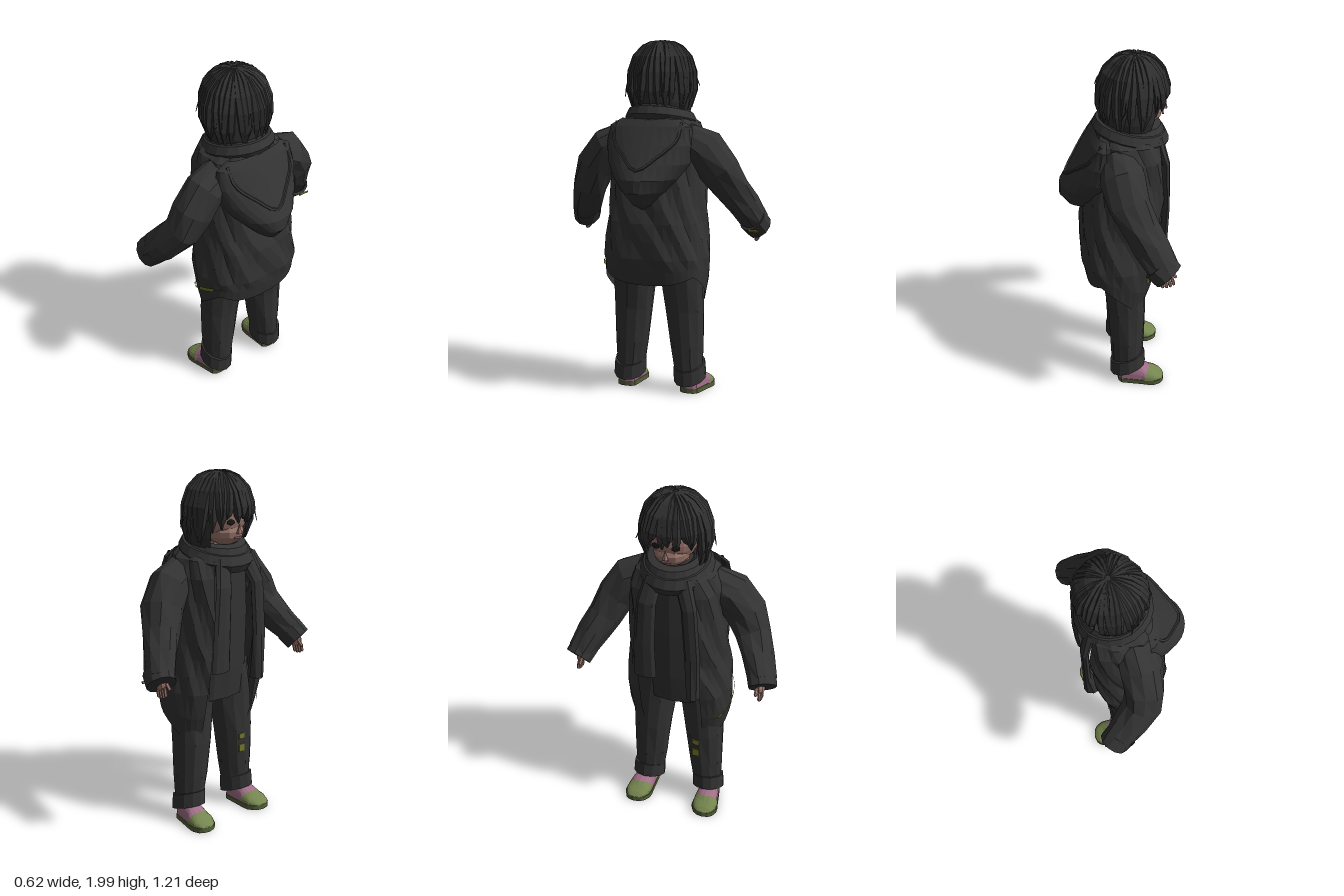
import * as THREE from 'three';

const mat = (name, color) => {
  const m = new THREE.MeshStandardMaterial({ color, flatShading: true, side: THREE.DoubleSide });
  m.name = name;
  return m;
};
const V = (x, y, z) => new THREE.Vector3(x, y, z);

// surface through a list of equally long point rows
function loft(rows) {
  const n = rows[0].length, idx = [];
  for (let r = 0; r < rows.length - 1; r++)
    for (let c = 0; c < n - 1; c++) {
      const a = r * n + c, b = a + n;
      idx.push(a, b, a + 1, b, b + 1, a + 1);
    }
  const g = new THREE.BufferGeometry().setFromPoints(rows.flat());
  g.setIndex(idx);
  g.computeVertexNormals();
  return g;
}

// capped limb along nodes [x, y, z, radiusAlongX, radiusAcross]
function limb(nodes, sides = 10, fold = 0) {
  const p = nodes.map(n => V(n[0], n[1], n[2]));
  const rows = p.map((c, i) => {
    const t = p[Math.min(i + 1, p.length - 1)].clone().sub(p[Math.max(i - 1, 0)]).normalize();
    const a = V(1, 0, 0).addScaledVector(t, -t.x).normalize();
    const b = t.clone().cross(a);
    return Array.from({ length: sides + 1 }, (_, k) => {
      const w = k % sides * 2 * Math.PI / sides;
      const f = 1 + fold * Math.sin(k % sides * 2.3 + i * 1.9);
      return c.clone().addScaledVector(a, Math.cos(w) * nodes[i][3] * f)
        .addScaledVector(b, Math.sin(w) * nodes[i][4] * f);
    });
  });
  rows.unshift(rows[0].map(() => p[0].clone()));
  rows.push(rows[0].map(() => p[p.length - 1].clone()));
  return loft(rows);
}

// interpolate rows keyed by descending first value
function sample(table, y) {
  let i = 0;
  while (i < table.length - 2 && y < table[i + 1][0]) i++;
  const A = table[i], B = table[i + 1];
  const t = THREE.MathUtils.clamp((A[0] - y) / (A[0] - B[0]), 0, 1);
  return A.map((v, k) => v + (B[k] - v) * t);
}
const pw = (v, e) => Math.sign(v) * Math.abs(v) ** e;

// coat sections: y, front x, back x, half width
const COAT = [[1.6, -0.2, 0.1, 0.13], [1.54, -0.24, 0.12, 0.22], [1.45, -0.265, 0.13, 0.255], [1.2, -0.275, 0.17, 0.265],
  [1.0, -0.265, 0.2, 0.275], [0.8, -0.25, 0.2, 0.3], [0.65, -0.21, 0.17, 0.295], [0.5, -0.16, 0.14, 0.27]];
function coatPoint(y, a, grow = 0) {
  const [, x0, x1, w] = sample(COAT, y);
  return V((x0 + x1) / 2 + ((x1 - x0) / 2 + grow) * pw(Math.cos(a), 0.8), y, (w + grow) * pw(Math.sin(a), 0.8));
}

// hair sections: y, front x, back x, half width
const HAIR = [[1.99, -0.1, -0.1, 0], [1.982, -0.16, -0.04, 0.06], [1.965, -0.2, 0.005, 0.1], [1.92, -0.25, 0.055, 0.15],
  [1.84, -0.28, 0.09, 0.18], [1.74, -0.285, 0.1, 0.19], [1.66, -0.27, 0.095, 0.185], [1.59, -0.24, 0.075, 0.165]];
function hairPoint(y, a, k = 1) {
  const [, x0, x1, w] = sample(HAIR, y);
  return V((x0 + x1) / 2 + (x1 - x0) / 2 * k * Math.cos(a), y, w * k * Math.sin(a));
}

export function createModel() {
  const g = new THREE.Group();
  const coatM = mat('coat charcoal', 0x333333), hairM = mat('hair black', 0x2f2f30), pantsM = mat('trousers charcoal', 0x323232),
    skinM = mat('skin', 0x9f796e), greenM = mat('shoe green', 0x75854f), pinkM = mat('shoe pink', 0xa06f88),
    soleM = mat('sole green', 0x525e38), trimM = mat('trim yellow', 0x74732b), eyeM = mat('eye dark', 0x1c1818);
  const add = (name, geo, m, parent = g) => {
    const o = new THREE.Mesh(geo, m);
    o.name = name;
    parent.add(o);
    return o;
  };

  // open coat with a slanting hem
  const N = 30, gap = 0.56;
  const angles = Array.from({ length: N + 1 }, (_, i) => -(Math.PI - gap) + i * 2 * (Math.PI - gap) / N);
  const hem = a => {
    const x = coatPoint(0.65, a).x;
    return x > 0.1 ? 0.65 + (0.17 - x) * 0.7 : Math.max(0.5, 0.625 + 0.83 * x);
  };
  const levels = [1.6, 1.54, 1.45, 1.32, 1.2, 1.08, 1.0, 0.9, 0.8];
  add('coat', loft([...levels.map((y, r) => angles.map((a, i) => coatPoint(y, a, 0.008 * Math.sin(i * 1.7 + r * 2.1)))),
    ...[0.5, 1].map(t => angles.map(a => coatPoint(0.8 + (hem(a) - 0.8) * t, a)))]), coatM);

  // worn trim on the left coat side: a broad stroke and a few short dashes, as [start, end, width]
  for (const [a0, a1, w] of [[0.95, 1.2, 0.006], [1.2, 1.62, 0.026], [1.66, 1.8, 0.013], [1.84, 1.97, 0.012], [2.0, 2.15, 0.016], [2.18, 2.28, 0.012]])
    add('coatTrim', loft([-0.5, 0.5].map(d => Array.from({ length: 5 }, (_, i) => {
      const a = a0 + (a1 - a0) * i / 4;
      return coatPoint(0.72 + 0.47 * coatPoint(0.7, a).x + d * w, a, 0.009);
    }))), trimM);

  // jumper under the coat
  add('jumper', limb([[-0.07, 1.6, 0, 0.1, 0.1], [-0.07, 1.48, 0, 0.14, 0.19], [-0.04, 1.2, 0, 0.17, 0.22],
    [-0.03, 0.9, 0, 0.17, 0.22], [-0.04, 0.72, 0, 0.14, 0.22]], 14), pantsM);

  // hood hanging on the back: y, depth x, half width
  const HOOD = [[1.57, 0.11, 0.17], [1.53, 0.14, 0.24], [1.43, 0.2, 0.255], [1.33, 0.26, 0.235], [1.25, 0.31, 0.19],
    [1.18, 0.312, 0.13], [1.11, 0.26, 0.065], [1.08, 0.19, 0.025]];
  const hoodPoint = (h, t) => V(0.06 + (h[1] - 0.06) * Math.cos(t) ** 0.8, h[0], 0.005 + h[2] * Math.sin(t));
  add('hood', loft(HOOD.map(h => Array.from({ length: 15 }, (_, i) => hoodPoint(h, (i - 7) * Math.PI / 14.01)))), coatM);
  const rim = [-1, -0.7, -0.35, 0, 0.35, 0.7, 1].map(s => {
    const y = 1.55 - 0.25 * (1 - Math.abs(s) ** 1.2);
    return hoodPoint(sample(HOOD, y), s * 1.2);
  });
  add('hoodRim', new THREE.TubeGeometry(new THREE.CatmullRomCurve3(rim), 18, 0.01, 5), coatM);

  // scarf: two wraps round the neck and two hanging tails
  [[1.555, 0.152, 0.145, 0.058, 0.17], [1.59, 0.137, 0.13, 0.045, 0.13]].forEach(([y, rx, rz, tube, tilt], i) => {
    const t = new THREE.TorusGeometry(1, 0.33, 7, 20);
    t.rotateX(Math.PI / 2);
    const p = t.attributes.position;
    for (let k = 0; k < p.count; k++) {
      const x = p.getX(k), z = p.getZ(k), r = Math.hypot(x, z), s = (r - 1) / 0.33;
      const nx = x / r * (rx + tube * s), nz = z / r * (rz + tube * s);
      p.setXYZ(k, nx - 0.08, y + p.getY(k) / 0.33 * tube + nx * tilt * 1.3, nz);
    }
    t.computeVertexNormals();
    add('scarfWrap' + (i + 1), t, coatM);
  });
  add('scarfTailRight', limb([[-0.22, 1.54, -0.08, 0.03, 0.05], [-0.265, 1.4, -0.11, 0.022, 0.055],
    [-0.27, 1.15, -0.125, 0.02, 0.06], [-0.26, 0.93, -0.125, 0.022, 0.065]], 8), coatM);
  add('scarfTailLeft', limb([[-0.22, 1.54, 0.08, 0.03, 0.05], [-0.268, 1.4, 0.13, 0.022, 0.045],
    [-0.27, 1.1, 0.15, 0.022, 0.045], [-0.245, 0.84, 0.15, 0.05, 0.04]], 8), coatM);

  // sleeves, cuffs and hands
  const arms = {
    left: [[-0.01, 1.46, 0.17, 0.1, 0.09], [0.0, 1.4, 0.28, 0.115, 0.115], [0.0, 1.29, 0.365, 0.11, 0.112],
      [-0.02, 1.18, 0.415, 0.105, 0.1], [-0.1, 1.08, 0.472, 0.1, 0.088], [-0.185, 0.995, 0.52, 0.085, 0.075]],
    right: [[-0.01, 1.46, -0.17, 0.1, 0.09], [-0.02, 1.4, -0.28, 0.12, 0.115], [-0.05, 1.29, -0.36, 0.115, 0.112],
      [-0.105, 1.18, -0.415, 0.1, 0.1], [-0.16, 1.09, -0.467, 0.095, 0.088], [-0.22, 0.985, -0.52, 0.085, 0.075]]
  };
  for (const [side, path] of Object.entries(arms)) {
    add(side + 'Sleeve', limb(path, 11, 0.05), coatM);
    const [x, y, z] = path[5], s = Math.sign(z);
    add(side + 'Cuff', limb([[x + 0.03, y + 0.025, z - s * 0.015, 0.092, 0.08], [x - 0.025, y - 0.03, z + s * 0.01, 0.086, 0.076]], 11), coatM);
    const hand = new THREE.Group();
    hand.name = side + 'Hand';
    hand.position.set(s > 0 ? x - 0.02 : x - 0.005, y - 0.035, z);
    hand.quaternion.setFromUnitVectors(V(0, -1, 0), V(-0.25, -0.9, s * 0.05).normalize());
    g.add(hand);
    add('palm', new THREE.SphereGeometry(0.04, 8, 6).scale(1, 0.9, 0.6), skinM, hand);
    for (let i = 0; i < 4; i++) {
      const f = add('finger', new THREE.CapsuleGeometry(0.009, 0.035, 2, 6), skinM, hand);
      f.position.set(-0.03 + i * 0.02, -0.045 - (i % 3 ? 0.006 : 0), 0);
    }
    const th = add('thumb', new THREE.CapsuleGeometry(0.01, 0.03, 2, 6), skinM, hand);
    th.position.set(-0.042, -0.018, -s * 0.015);
    th.rotation.z = -0.5;
  }
  // small yellow tab on the back of the right cuff
  const tab = add('cuffTab', new THREE.BoxGeometry(0.008, 0.014, 0.06), trimM);
  tab.position.set(-0.13, 0.942, -0.536);
  tab.rotation.z = -0.69;

  // trousers with turn-ups, shoes
  for (const s of [1, -1]) {
    const side = s > 0 ? 'left' : 'right';
    add(side + 'TrouserLeg', limb([[-0.03, 0.88, s * 0.12, 0.13, 0.13], [-0.04, 0.68, s * 0.145, 0.12, 0.125],
      [-0.055, 0.48, s * 0.158, 0.108, 0.11], [-0.055, 0.28, s * 0.17, 0.098, 0.098], [-0.055, 0.11, s * 0.18, 0.086, 0.078]], 12, 0.025), pantsM);
    const cuff = limb([[-0.057, 0.165, s * 0.183, 0.1, 0.09], [-0.06, 0.08, s * 0.187, 0.102, 0.093]], 12);
    const cp = cuff.attributes.position;
    for (let k = 0; k < cp.count; k++) cp.setY(k, cp.getY(k) - (cp.getX(k) + 0.055) * 0.3);
    add(side + 'TurnUp', cuff, pantsM);

    // shoe sections along x: x, half width, top height
    const SHOE = [[-0.27, 0.0, 0.03], [-0.262, 0.035, 0.038], [-0.245, 0.056, 0.052], [-0.21, 0.072, 0.07], [-0.175, 0.072, 0.088],
      [-0.14, 0.066, 0.108], [-0.08, 0.058, 0.12], [-0.02, 0.05, 0.1], [-0.004, 0.03, 0.08], [0.0, 0.0, 0.06]];
    const cz = x => s * (0.2 - 0.08 * (x + 0.1));
    // rows lean back towards the sides, so the toe cap ends in a curve
    const upper = (list, lean) => loft(list.map(([x, w, h], r) => Array.from({ length: 11 }, (_, k) => {
      const a = k * Math.PI / 10;
      const shift = r === lean ? 0.03 * Math.abs(Math.cos(a)) - 0.012 : 0;
      return V(x + shift, 0.025 + (h - 0.025) * Math.sin(a) ** 0.8, cz(x) + w * pw(Math.cos(a), 0.8));
    })));
    add(side + 'ShoeToe', upper(SHOE.slice(0, 5), 4), greenM);
    add(side + 'ShoeInstep', upper(SHOE.slice(4), 0), pinkM);
    const line = [...SHOE.map(([x, w]) => V(x, 0, cz(x) + w * 1.05)), ...SHOE.slice(1, -1).reverse().map(([x, w]) => V(x, 0, cz(x) - w * 1.05))];
    const sole = new THREE.ExtrudeGeometry(new THREE.Shape(line.map(p => new THREE.Vector2(p.x, -p.z))), { depth: 0.028, bevelEnabled: false });
    add(side + 'Sole', sole.rotateX(-Math.PI / 2), soleM);
  }
  // small patches on the left trouser leg
  for (const [y, h] of [[0.375, 0.045], [0.45, 0.03]])
    add('trouserPatch', new THREE.BoxGeometry(0.008, h, 0.04), trimM).position.set(-0.156, y, 0.135);

  // head, neck and face, looking along -x
  add('head', new THREE.SphereGeometry(1, 18, 14).scale(0.155, 0.175, 0.14).translate(-0.11, 1.785, 0), skinM);
  add('jaw', new THREE.SphereGeometry(1, 12, 8).scale(0.105, 0.085, 0.1).translate(-0.152, 1.685, 0), skinM);
  add('neck', new THREE.CylinderGeometry(0.065, 0.07, 0.16, 10).translate(-0.08, 1.6, 0), skinM);
  add('nose', new THREE.ConeGeometry(0.017, 0.055, 5).translate(-0.264, 1.705, 0), skinM);
  add('mouth', new THREE.BoxGeometry(0.008, 0.008, 0.05).translate(-0.253, 1.655, 0), pinkM);
  for (const s of [1, -1]) {
    const e = add('eye', new THREE.SphereGeometry(1, 10, 6).scale(0.005, 0.016, 0.024), eyeM);
    e.position.set(-0.256, 1.745, s * 0.055);
    e.rotation.y = s * 0.35;
  }

  // hair: closed crown and a ragged bob around sides and back
  add('hairCrown', loft([1.99, 1.982, 1.965, 1.92, 1.87, 1.8].map(y =>
    Array.from({ length: 49 }, (_, i) => hairPoint(y, i * Math.PI / 24, 0.95)))), hairM);
  add('hairBob', loft([1.8, 1.74, 1.66, 1.6].map((y, r) => Array.from({ length: 33 }, (_, i) =>
    hairPoint(y + (r === 3 ? 0.018 * Math.sin(i * 2.3) : 0), (i - 17) * Math.PI / 24, 0.95)))), hairM);

  // long locks from the whorl to the tips, shorter across the brow and on the left of the face
  const locks = 34;
  for (let i = 0; i < locks; i++) {
    const a = i * 2 * Math.PI / locks, front = Math.abs(a - Math.PI);
    const brow = a < Math.PI ? 1.76 - 0.02 * front : 1.755 - 0.09 * front ** 2;
    const end = front < 1.1 ? brow + 0.02 * Math.sin(i * 2.4) : 1.615 + 0.02 * Math.sin(i * 2.3);
    const swirl = 0.05 * Math.sin(i * 1.7);
    const pts = [[1.988, 0.006], [1.978, 0.011], [1.955, 0.016], [1.9, 0.021], [1.82, 0.024], [(1.82 + end) / 2, 0.022], [end, 0.004]].map(([y, r], k) => {
      const p = hairPoint(y, a + swirl * (k - 3), 0.95 + 0.014 * Math.sin(i * 3.1));
      return [p.x, p.y, p.z, r, r];
    });
    add('hairLock', limb(pts, 5), hairM);
  }
  // stray wisps
  for (const [a, y] of [[1.2, 1.68], [-1.3, 1.7], [0.2, 1.8], [2.2, 1.72], [-2.2, 1.74]]) {
    const p = [hairPoint(y + 0.14, a, 0.98), hairPoint(y + 0.05, a, 1.06), hairPoint(y, a + 0.1, 1.12)];
    add('hairWisp', limb(p.map((q, k) => [q.x, q.y, q.z, 0.007 - k * 0.0025, 0.007 - k * 0.0025]), 4), hairM);
  }
  return g;
}
